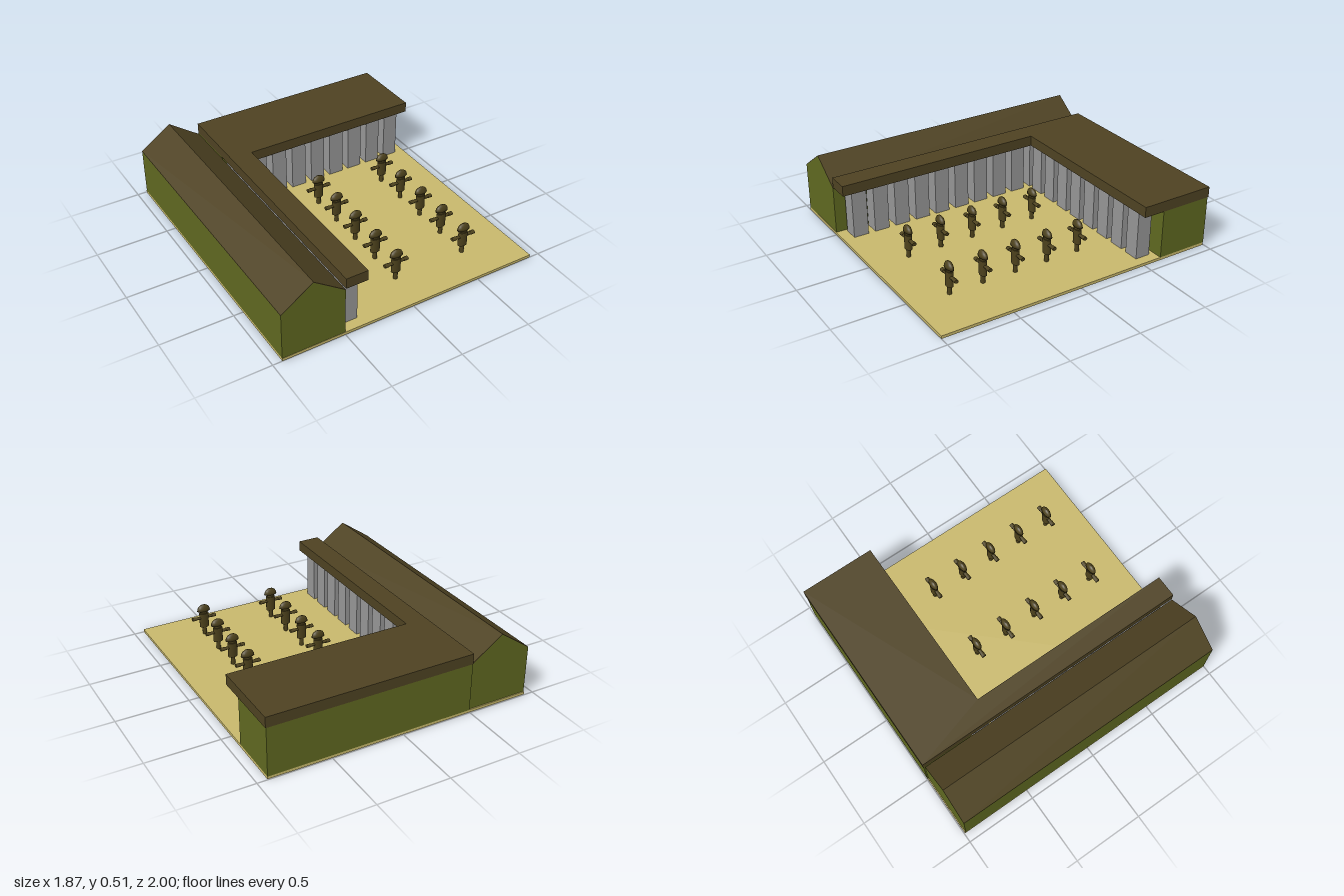
import * as THREE from 'three';

const mat = (name, color) => {
  const m = new THREE.MeshStandardMaterial({ color });
  m.name = name;
  return m;
};

export function createModel() {
  const sand = mat('sand', 0xc8b86c);
  const green = mat('wall green', 0x5f6820);
  const brown = mat('roof brown', 0x4e4222);
  const grey = mat('column grey', 0x969696);
  const bronze = mat('figure brown', 0x4c411c);

  const model = new THREE.Group();
  model.name = 'paradeGround';

  const add = (parent, name, geometry, material) => {
    const mesh = new THREE.Mesh(geometry, material);
    mesh.name = name;
    parent.add(mesh);
    return mesh;
  };
  // Box given by its limits on each axis
  const block = (name, material, [x0, x1], [y0, y1], [z0, z1]) =>
    add(model, name, new THREE.BoxGeometry(x1 - x0, y1 - y0, z1 - z0), material)
      .position.set((x0 + x1) / 2, (y0 + y1) / 2, (z0 + z1) / 2);
  const extrude = (points, depth) => new THREE.ExtrudeGeometry(
    new THREE.Shape(points.map(([x, y]) => new THREE.Vector2(x, y))),
    { depth, bevelEnabled: false });

  block('ground', sand, [-0.935, 0.93], [0, 0.02], [-0.995, 1]);

  // Gabled long hall with a thin roof skin
  const hall = add(model, 'gabledHall', extrude(
    [[-0.935, 0.02], [-0.5, 0.02], [-0.5, 0.35], [-0.717, 0.502], [-0.935, 0.35]], 1.986), green);
  hall.position.z = -0.988;
  const skin = add(model, 'gabledRoof', extrude(
    [[-0.935, 0.35], [-0.717, 0.502], [-0.5, 0.35], [-0.5, 0.355], [-0.717, 0.507], [-0.935, 0.355]], 1.986), brown);
  skin.position.z = -0.988;

  // Rear building and the L-shaped flat roof over both colonnades
  block('rearBuilding', green, [-0.497, 0.93], [0.02, 0.36], [-0.997, -0.63]);
  const flat = extrude(
    [[-0.497, 1], [0.935, 1], [0.935, 0.473], [-0.343, 0.473], [-0.343, -0.998], [-0.497, -0.998]], 0.073);
  flat.rotateX(-Math.PI / 2);
  add(model, 'flatRoof', flat, brown).position.y = 0.36;

  // Square columns along the two courtyard sides
  const columnGeo = new THREE.BoxGeometry(0.108, 0.34, 0.106);
  const column = (x, z) => add(model, 'column', columnGeo, grey).position.set(x, 0.19, z);
  for (let i = 0; i < 10; i++) column(-0.425, 0.873 - i * 0.1565);
  for (let i = 0; i < 8; i++) column(-0.278 + i * 0.155, -0.537);

  // Figure parts, shared by all ten figures
  const legsGeo = new THREE.CylinderGeometry(0.015, 0.015, 0.06, 12);
  const torsoGeo = new THREE.CylinderGeometry(0.034, 0.034, 0.105, 16).scale(1, 1, 0.67);
  const armGeo = new THREE.CylinderGeometry(0.01, 0.01, 0.176, 10).rotateZ(Math.PI / 2).scale(1, 1, 1.3);
  const handGeo = new THREE.CylinderGeometry(0.012, 0.012, 0.03, 10).rotateZ(Math.PI / 2).scale(1, 1, 1.3);
  const headGeo = new THREE.SphereGeometry(0.029, 16, 12).scale(1, 1.1, 0.7);
  const dome = [[0, 0], [0.048, 0], [0.045, 0.016], [0.036, 0.032], [0.02, 0.043], [0, 0.047]];
  const helmetGeo = new THREE.LatheGeometry(
    dome.map(([x, y]) => new THREE.Vector2(x, y)), 20).scale(1, 1, 0.5);

  const addFigure = (x, z) => {
    const figure = new THREE.Group();
    figure.name = 'figure';
    figure.position.set(x, 0, z);
    add(figure, 'legs', legsGeo, bronze).position.y = 0.05;
    add(figure, 'torso', torsoGeo, bronze).position.y = 0.132;
    add(figure, 'arms', armGeo, bronze).position.y = 0.15;
    for (const s of [-1, 1]) add(figure, 'hand', handGeo, bronze).position.set(s * 0.073, 0.15, 0);
    add(figure, 'head', headGeo, bronze).position.y = 0.2;
    add(figure, 'helmet', helmetGeo, bronze).position.y = 0.204;
    model.add(figure);
  };
  for (const x of [0.04, 0.567])
    for (let i = 0; i < 5; i++) addFigure(x, 0.735 - i * 0.24);

  return model;
}
